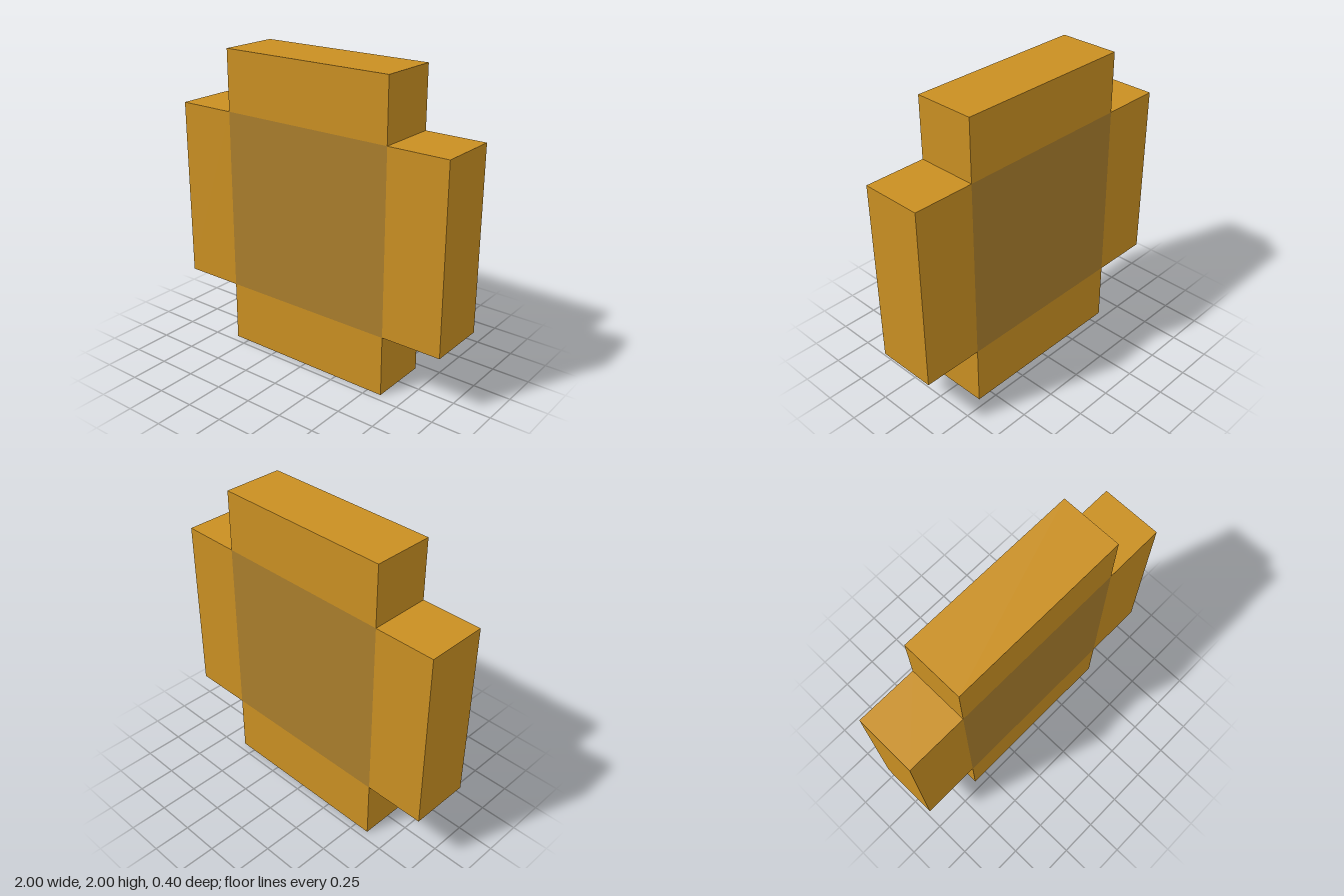
import * as THREE from 'three';

export function createModel() {
  const model = new THREE.Group();
  model.name = 'crossBlock';

  const gold = new THREE.MeshStandardMaterial({ color: 0xc98f22 });
  gold.name = 'gold';
  const bronze = new THREE.MeshStandardMaterial({ color: 0xa97d2c });
  bronze.name = 'bronze';

  const depth = 0.4;
  const addBlock = (name, width, height, x, y, material) => {
    const mesh = new THREE.Mesh(new THREE.BoxGeometry(width, height, depth), material);
    mesh.name = name;
    mesh.position.set(x, y, 0);
    model.add(mesh);
  };

  // Square core, flush with the four arms around it
  addBlock('core', 1.2, 1.2, 0, 1, bronze);

  // Upper and lower arms
  addBlock('topArm', 1.2, 0.4, 0, 1.8, gold);
  addBlock('bottomArm', 1.2, 0.4, 0, 0.2, gold);

  // Side arms
  addBlock('leftArm', 0.4, 1.2, 0.8, 1, gold);
  addBlock('rightArm', 0.4, 1.2, -0.8, 1, gold);

  return model;
}
